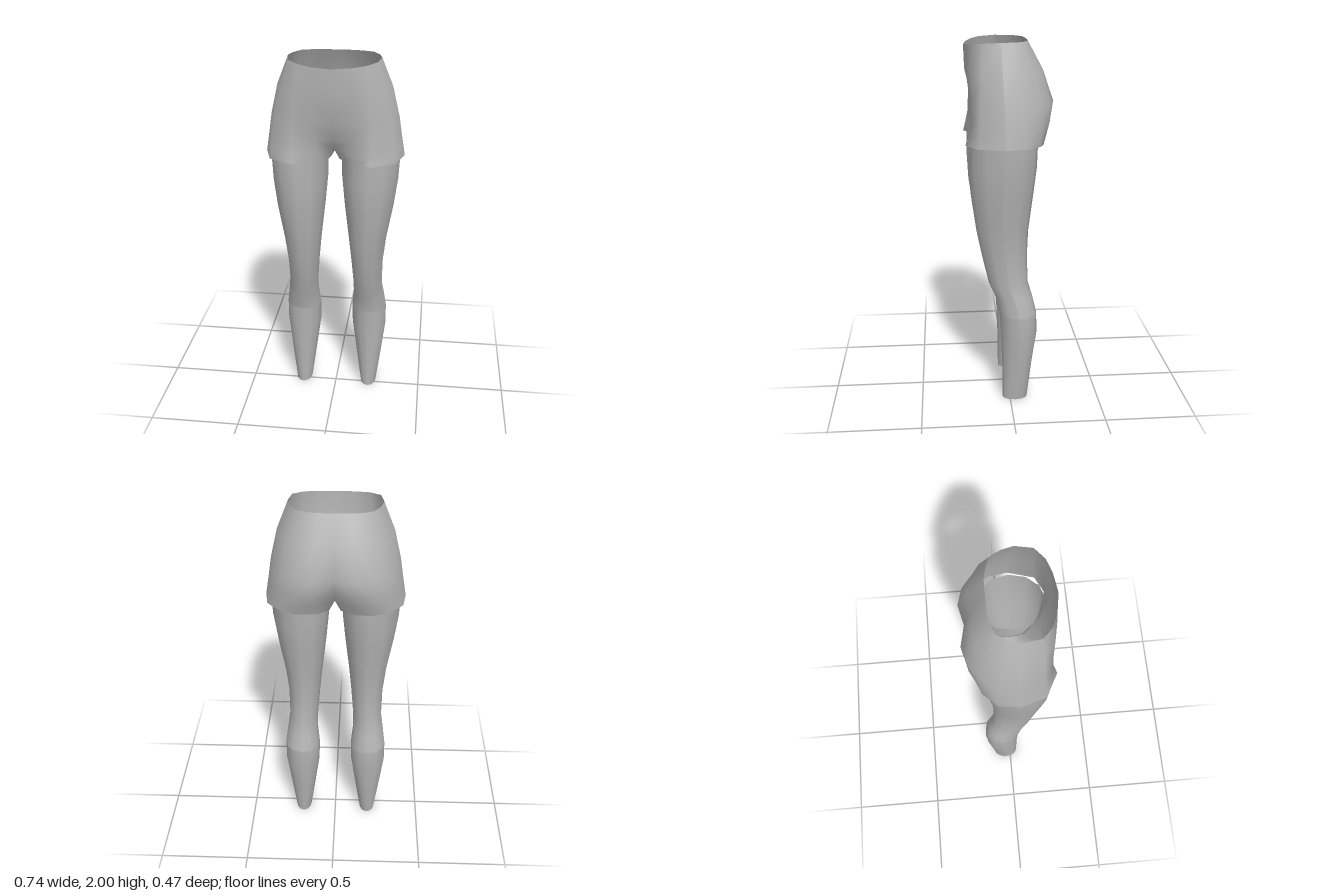
import * as THREE from 'three';

const fabric = new THREE.MeshStandardMaterial({ color: 0xb4b4b4, side: THREE.DoubleSide });
fabric.name = 'grey fabric';

function makeMesh(name, positions, index) {
  const geo = new THREE.BufferGeometry();
  geo.setAttribute('position', new THREE.Float32BufferAttribute(positions, 3));
  geo.setIndex(index);
  geo.computeVertexNormals();
  const mesh = new THREE.Mesh(geo, fabric);
  mesh.name = name;
  return mesh;
}

// Shorts, left half: each row has a height and points [x, z, optional y].
// The back part runs from the side seam to the back centre, the front part
// from the front centre towards the side; the crotch part joins the two.
const SHORTS = [
  { y: 2,
    back: [[.24, .05], [.225, -.01], [.19, -.07], [.135, -.09], [.08, -.1], [0, -.1]],
    front: [[0, .232, 1.975], [.1, .216, 1.98], [.17, .19, 1.987], [.225, .14, 1.995]] },
  { y: 1.85,
    back: [[.3, .045], [.288, -.04], [.24, -.115], [.175, -.16], [.1, -.18], [0, -.17]],
    front: [[0, .228], [.1, .222], [.19, .204], [.265, .15]] },
  { y: 1.69,
    back: [[.337, .038], [.323, -.06], [.272, -.15], [.2, -.208], [.11, -.234], [0, -.21]],
    front: [[0, .192], [.1, .2], [.2, .203], [.3, .155]] },
  { y: 1.59,
    back: [[.352, .035], [.339, -.07], [.28, -.153], [.2, -.205], [.105, -.22], [0, -.165]],
    front: [[0, .15], [.085, .178], [.2, .207], [.314, .16]] },
  { y: 1.53,
    back: [[.362, .032], [.348, -.072], [.283, -.152], [.2, -.19], [.095, -.192], [0, -.11, 1.52]],
    crotch: [[0, -.05, 1.497], [0, .03, 1.497]],
    front: [[0, .09, 1.52], [.075, .16], [.2, .22], [.322, .165]] },
  { y: 1.48,
    back: [[.37, .03], [.355, -.075], [.285, -.15], [.2, -.175, 1.472], [.09, -.163, 1.468], [.03, -.11, 1.462]],
    crotch: [[.02, -.05, 1.46], [.02, .03, 1.46]],
    front: [[.028, .08, 1.462], [.085, .15, 1.468], [.205, .233, 1.475], [.33, .168]] },
];

function makeShorts() {
  const positions = [], index = [], centre = {};
  for (const side of [1, -1]) {
    const ids = SHORTS.map((row, r) => {
      const points = [...row.back, ...(row.crotch || [null, null]), ...row.front, row.back[0]];
      return points.map((p, k) => {
        if (!p) return -1;
        const key = r + ',' + k;
        if (p[0] === 0 && key in centre) return centre[key]; // halves share the centre line
        positions.push(side * p[0], p[2] ?? row.y, p[1]);
        const id = positions.length / 3 - 1;
        if (p[0] === 0) centre[key] = id;
        return id;
      });
    });
    for (let r = 0; r < ids.length - 1; r++) {
      for (let k = 0; k < ids[r].length - 1; k++) {
        const a = ids[r][k], b = ids[r][k + 1], c = ids[r + 1][k], d = ids[r + 1][k + 1];
        if (Math.min(a, b, c, d) < 0) continue;
        if (side > 0) index.push(a, c, b, b, c, d);
        else index.push(a, b, c, b, d, c);
      }
    }
  }
  return makeMesh('shorts', positions, index);
}

// Leg outline: height, inner x, outer x, back z, front z
const UPPER_LEG = [
  [1.5, .035, .348, -.148, .215], [1.35, .038, .34, -.143, .216], [1.2, .052, .32, -.125, .208],
  [1, .075, .285, -.1, .18], [.85, .09, .268, -.094, .15], [.7, .102, .265, -.1, .115],
  [.62, .102, .277, -.124, .08], [.52, .091, .29, -.148, .057],
];
const LOWER_LEG = [
  [.52, .091, .29, -.148, .057], [.4, .095, .29, -.15, .05],
  [.2, .122, .266, -.121, .043], [0, .15, .24, -.097, .042],
];

// Open tube with its seam along the outer side
function makeLeg(name, rows, side) {
  const N = 12, positions = [], index = [];
  for (const [y, x0, x1, z0, z1] of rows) {
    for (let k = 0; k <= N; k++) {
      const t = (k / N) * Math.PI * 2;
      const x = (x0 + x1) / 2 + Math.cos(t) * (x1 - x0) / 2;
      const z = (z0 + z1) / 2 - Math.sin(t) * (z1 - z0) / 2;
      positions.push(side * x, y, z);
    }
  }
  for (let r = 0; r < rows.length - 1; r++) {
    for (let k = 0; k < N; k++) {
      const a = r * (N + 1) + k, b = a + 1, c = a + N + 1, d = c + 1;
      if (side > 0) index.push(a, c, b, b, c, d);
      else index.push(a, b, c, b, d, c);
    }
  }
  return makeMesh(name, positions, index);
}

export function createModel() {
  const model = new THREE.Group();
  model.name = 'shorts and leggings';
  model.add(makeShorts());
  for (const [label, side] of [['left', 1], ['right', -1]]) {
    const leg = new THREE.Group();
    leg.name = label + 'Leg';
    leg.add(makeLeg(label + 'UpperLegging', UPPER_LEG, side));
    leg.add(makeLeg(label + 'LowerLegging', LOWER_LEG, side));
    model.add(leg);
  }
  return model;
}
